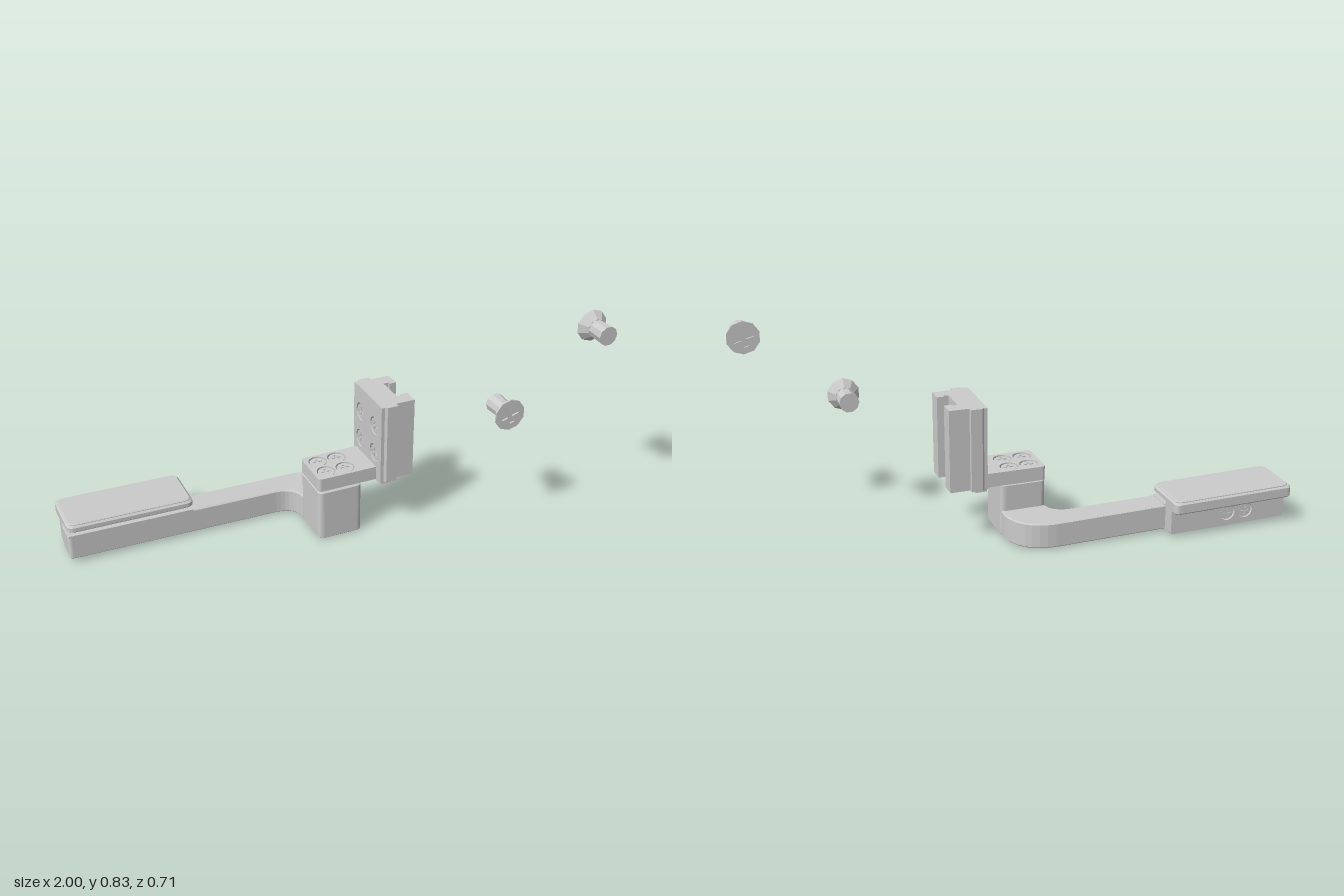
import * as THREE from 'three';

const mat = new THREE.MeshStandardMaterial({ color: 0xcccccc, flatShading: true });

function add(parent, name, geo) {
  const m = new THREE.Mesh(geo, mat);
  m.name = name;
  parent.add(m);
  return m;
}

// rounded rectangle with optional round holes [u, v, radius]
function roundRect(u0, v0, u1, v1, r, holes = []) {
  const s = new THREE.Shape();
  s.moveTo(u0 + r, v0);
  s.lineTo(u1 - r, v0);
  s.quadraticCurveTo(u1, v0, u1, v0 + r);
  s.lineTo(u1, v1 - r);
  s.quadraticCurveTo(u1, v1, u1 - r, v1);
  s.lineTo(u0 + r, v1);
  s.quadraticCurveTo(u0, v1, u0, v1 - r);
  s.lineTo(u0, v0 + r);
  s.quadraticCurveTo(u0, v0, u0 + r, v0);
  for (const [u, v, hr] of holes) {
    s.holes.push(new THREE.Path().absarc(u, v, hr, 0, Math.PI * 2, true));
  }
  return s;
}

// extrude with a small chamfer kept inside the given depth and outline
function slab(shape, depth, bevel = 0) {
  const g = new THREE.ExtrudeGeometry(shape, {
    depth: depth - 2 * bevel, curveSegments: 8, bevelEnabled: bevel > 0,
    bevelSize: bevel, bevelThickness: bevel, bevelOffset: -bevel, bevelSegments: 1,
  });
  return g.translate(0, 0, bevel);
}

// plan outline (x, -z) raised from y0 to y1
const raise = (shape, y0, y1, bevel = 0) =>
  slab(shape, y1 - y0, bevel).rotateX(-Math.PI / 2).translate(0, y0, 0);

// the arm and pad climb gently towards the far end
function tilt(g) {
  const p = g.attributes.position;
  for (let i = 0; i < p.count; i++) {
    const x = p.getX(i);
    if (x < -0.1) p.setY(i, p.getY(i) + (-0.1 - x) * 0.015);
  }
  g.computeVertexNormals();
  return g;
}

// countersunk cross-head screw, head face at z = 0 looking along +z
function makeScrew(name) {
  const g = new THREE.Group();
  g.name = name;
  const face = new THREE.Shape();
  const sides = 10;
  for (let i = 0; i < sides; i++) {
    const a = (i / sides) * Math.PI * 2;
    face[i ? 'lineTo' : 'moveTo'](0.062 * Math.cos(a), 0.062 * Math.sin(a));
  }
  const l = 0.036, w = 0.009;
  const cross = [[l, w], [w, w], [w, l], [-w, l], [-w, w], [-l, w],
    [-l, -w], [-w, -w], [-w, -l], [w, -l], [w, -w], [l, -w]];
  face.holes.push(new THREE.Path(cross.reverse().map(([x, y]) => new THREE.Vector2(x, y))));
  add(g, 'screwFace', slab(face, 0.007).translate(0, 0, -0.007));
  add(g, 'screwCone', new THREE.CylinderGeometry(0.062, 0.036, 0.028, sides)
    .rotateX(Math.PI / 2).rotateZ(Math.PI / 2).translate(0, 0, -0.021));
  add(g, 'screwShaft', new THREE.CylinderGeometry(0.034, 0.038, 0.075, sides)
    .rotateX(Math.PI / 2).translate(0, 0, -0.0725));
  return g;
}

export function createModel() {
  const root = new THREE.Group();
  root.name = 'bracketAssembly';

  function screw(name, pos, rot = [0, 0, 0], scale = 0.52) {
    const s = makeScrew(name);
    s.position.set(...pos);
    s.rotation.set(...rot);
    s.scale.setScalar(scale);
    root.add(s);
  }

  // curved arm, running into the foot of the post
  const arm = new THREE.Shape();
  arm.moveTo(-0.985, 0.15);
  arm.lineTo(-0.18, 0.15);
  arm.quadraticCurveTo(-0.1, 0.148, -0.095, 0.07);
  arm.lineTo(-0.095, 0);
  arm.lineTo(0.075, 0);
  arm.lineTo(0.075, 0.12);
  arm.bezierCurveTo(0.07, 0.2, 0.01, 0.255, -0.08, 0.255);
  arm.lineTo(-0.985, 0.255);
  arm.quadraticCurveTo(-1, 0.255, -1, 0.24);
  arm.lineTo(-1, 0.165);
  arm.quadraticCurveTo(-1, 0.15, -0.985, 0.15);
  add(root, 'arm', tilt(raise(arm, 0.004, 0.101, 0.004)));

  // upright post
  add(root, 'post', raise(roundRect(-0.098, -0.087, 0.078, 0.09, 0.022), 0, 0.206, 0.004));

  // rest pad: back wall, shelf, plate and top layer
  const boltX = [-0.755, -0.83];
  add(root, 'padWallCore', tilt(new THREE.BoxGeometry(0.475, 0.12, 0.036, 4, 1, 1)
    .translate(-0.758, 0.064, -0.272)));
  const wall = roundRect(0.52, 0.004, 0.995, 0.124, 0.008, boltX.map((x) => [-x, 0.055, 0.031]));
  add(root, 'padWallFace', tilt(slab(wall, 0.02).rotateY(Math.PI).translate(0, 0, -0.289)));
  for (const x of boltX) screw('padScrew', [x, 0.064, -0.304], [0, Math.PI, 0], 0.45);
  add(root, 'padShelf', tilt(raise(roundRect(-1, 0.255, -0.515, 0.355, 0.02), 0.1, 0.146, 0.006)));
  add(root, 'padPlate', tilt(raise(roundRect(-1, 0.143, -0.515, 0.355, 0.03), 0.119, 0.146, 0.006)));
  add(root, 'padTop', tilt(raise(roundRect(-0.993, 0.15, -0.522, 0.348, 0.03), 0.144, 0.152, 0.003)));
  add(root, 'armSeat', tilt(new THREE.BoxGeometry(0.48, 0.008, 0.1).translate(-0.757, 0.1, -0.2)));

  // flat bracket foot on the post, with four countersunk screws
  const grid = [];
  for (const x of [-0.046, 0.032]) for (const z of [-0.047, 0.031]) grid.push([x, z]);
  const foot = (holes) => roundRect(-0.097, -0.08, 0.15, 0.093, 0.014, holes);
  add(root, 'bracketFoot', raise(foot([]), 0.208, 0.242));
  add(root, 'bracketFootTop', raise(foot(grid.map(([x, z]) => [x, -z, 0.036])), 0.242, 0.262));
  for (const [x, z] of grid) screw('footScrew', [x, 0.259, z], [-Math.PI / 2, 0, 0]);

  // upright slotted rail, profile mirrored about its middle
  const half = [[0.152, 0.118], [0.16, 0.126], [0.203, 0.126], [0.203, 0.108], [0.28, 0.108],
    [0.28, 0.046], [0.252, 0.046], [0.252, 0.056], [0.232, 0.056]];
  const profile = [...half, ...half.slice().reverse().map(([x, z]) => [x, -z])];
  const rail = new THREE.Shape(profile.map(([x, z]) => new THREE.Vector2(x, z)));
  add(root, 'rail', raise(rail, 0.213, 0.532));
  add(root, 'railFoot', raise(roundRect(0.14, -0.115, 0.187, 0.115, 0.004), 0.203, 0.214));

  // rail back plate with four countersunk screws
  const backHoles = [];
  for (const z of [-0.06, 0.06]) for (const y of [0.315, 0.43]) backHoles.push([z, y, 0.036]);
  const back = roundRect(-0.118, 0.213, 0.118, 0.532, 0.003, backHoles);
  add(root, 'railBack', slab(back, 0.014).rotateY(-Math.PI / 2).translate(0.153, 0, 0));
  for (const [z, y] of backHoles) screw('railScrew', [0.142, y, z], [0, -Math.PI / 2, 0]);

  // two loose screws facing opposite ways
  screw('looseScrewFront', [0.575, 0.497, 0.301], [0, 0, 0.3], 1);
  screw('looseScrewBack', [0.937, 0.769, 0.245], [0, Math.PI, 0.3], 1);

  return root;
}
